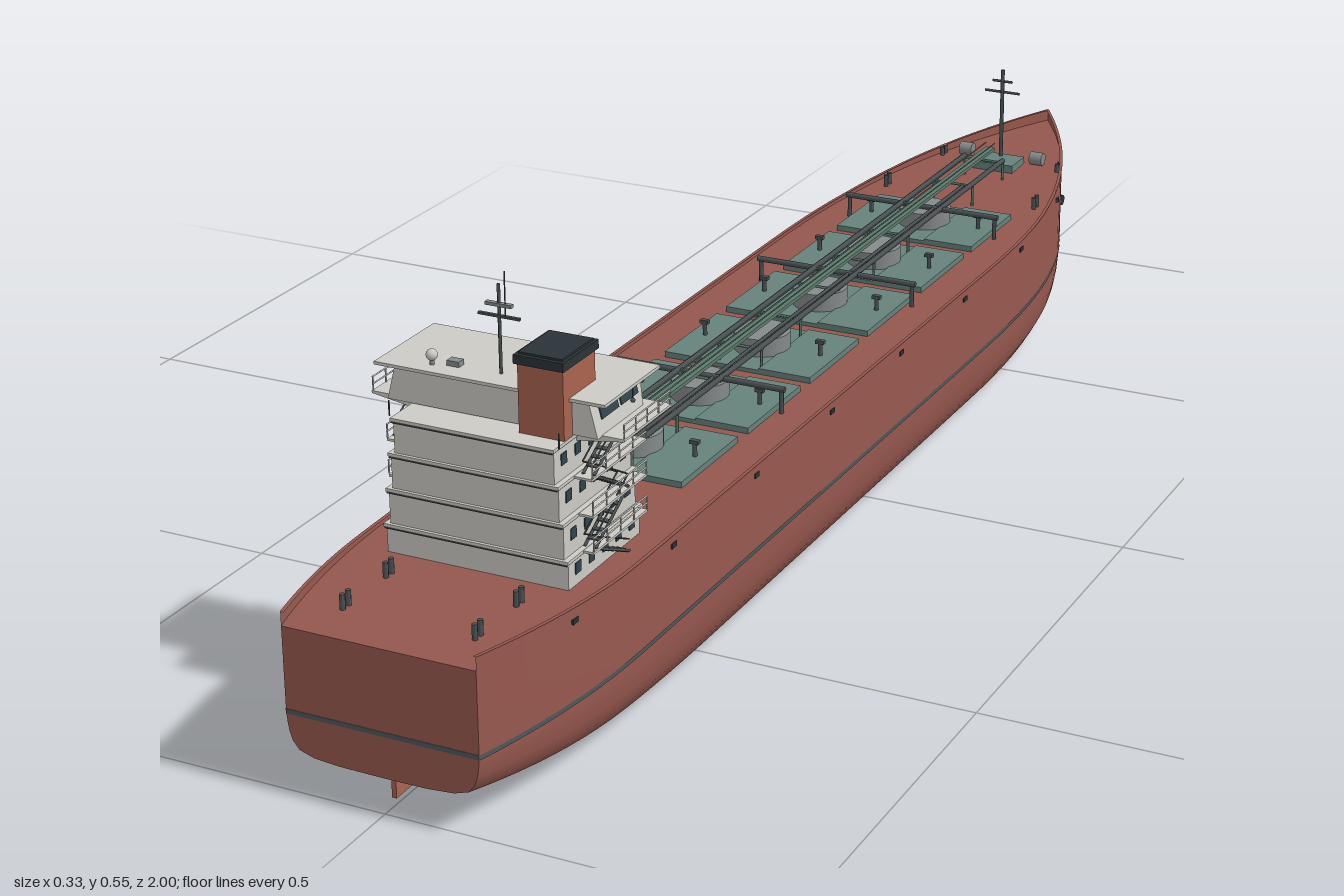
import * as THREE from 'three';

const mat = (color, side = THREE.FrontSide) => new THREE.MeshStandardMaterial({ color, side });
const M = {
  hull: mat(0x98594f, THREE.DoubleSide), deck: mat(0x94574d, THREE.DoubleSide),
  stripe: mat(0x50585c, THREE.DoubleSide), white: mat(0xcccbc4), hatch: mat(0x66827b),
  green: mat(0x5c7a6c), grey: mat(0x858a8a), steel: mat(0x4a5254), dark: mat(0x2a3338),
  funnel: mat(0xa8644e), glass: mat(0x30454c),
};

const add = (parent, name, geo, m, x = 0, y = 0, z = 0) => {
  const mesh = new THREE.Mesh(geo, m);
  mesh.name = name;
  mesh.position.set(x, y, z);
  parent.add(mesh);
  return mesh;
};
const box = (p, name, m, w, h, d, x, y, z) => add(p, name, new THREE.BoxGeometry(w, h, d), m, x, y, z);
const cyl = (p, name, m, r, h, x, y, z, n = 16) => add(p, name, new THREE.CylinderGeometry(r, r, h, n), m, x, y, z);
const rod = (p, name, m, a, b, r = 0.002) => {
  const A = new THREE.Vector3(...a), d = new THREE.Vector3(...b).sub(A);
  const mesh = add(p, name, new THREE.CylinderGeometry(r, r, d.length(), 6), m);
  mesh.position.copy(A).addScaledVector(d, 0.5);
  mesh.quaternion.setFromUnitVectors(new THREE.Vector3(0, 1, 0), d.normalize());
  return mesh;
};
const group = (p, name) => {
  const g = new THREE.Group();
  g.name = name;
  p.add(g);
  return g;
};

// Hull lines: bow at -z, stern at +z
const clamp = (t) => Math.min(1, Math.max(0, t));
const beam = (z) => 0.165 * (1 - clamp((-z - 0.3) / 0.7) ** 2.8) - 0.041 * clamp((z - 0.7) / 0.3) ** 2;
const keel = (z) => 0.032 * clamp((-z - 0.35) / 0.65) ** 2 + 0.045 * clamp((z - 0.5) / 0.5) ** 2;
const rail = (z) => 0.213 + 0.026 * clamp((-z - 0.55) / 0.45) ** 1.5 + 0.009 * clamp((z - 0.75) / 0.25);
const deckY = (z) => 0.205 + 0.016 * clamp((-z - 0.55) / 0.45) ** 1.5;
const stem = (z, y) => z + 0.016 * clamp((-z - 0.85) / 0.15) * clamp((0.11 - y) / 0.07);
const BILGE = [[1, 0.1], [0.99, 0.075], [0.975, 0.055], [0.945, 0.035], [0.88, 0.017], [0.73, 0.006], [0.45, 0.001]];
const STATIONS = Array.from({ length: 65 }, (_, i) => -Math.cos((i / 64) * Math.PI));

// Skin through a loop of cross-sections with equal point counts
const loft = (rows) => {
  const n = rows[0].length, index = [];
  for (let i = 0; i < rows.length - 1; i++)
    for (let j = 0; j < n - 1; j++) {
      const a = i * n + j, b = a + n;
      index.push(a, b, a + 1, b, b + 1, a + 1);
    }
  const g = new THREE.BufferGeometry();
  g.setAttribute('position', new THREE.Float32BufferAttribute(rows.flat(2), 3));
  g.setIndex(index);
  g.computeVertexNormals();
  return g;
};
const section = (z, top) => {
  const w = beam(z), k = keel(z);
  const half = [[w, top], [w, 0.16], ...BILGE.map(([f, y]) => [w * f, k + y * (1 - k / 0.1)])];
  return [...half, [0, k], ...half.map(([x, y]) => [-x, y]).reverse()];
};

function buildHull(root) {
  const hull = group(root, 'hull');
  add(hull, 'hullShell', loft(STATIONS.map((z) => section(z, rail(z)).map(([x, y]) => [x, y, stem(z, y)]))), M.hull);
  add(hull, 'mainDeck', loft(STATIONS.map((z) => [[-beam(z), deckY(z), z], [beam(z), deckY(z), z]])), M.deck);
  const transom = new THREE.Shape(section(1, 0.205).map(([x, y]) => new THREE.Vector2(x, y)));
  add(hull, 'transom', new THREE.ShapeGeometry(transom), M.hull, 0, 0, 1);
  for (const s of [-1, 1]) {
    const line = (y0, y1, o0, o1) => loft(STATIONS.map((z) => [
      [s * Math.max(0, beam(z) + o0), y0(z), z - 0.0005], [s * Math.max(0, beam(z) + o1), y1(z), z - 0.0005]]));
    add(hull, 'waterline', line(() => 0.097, () => 0.103, 0.0008, 0.0008), M.stripe);
    add(hull, 'bulwarkCap', line(rail, rail, -0.004, 0.001), M.deck);
    // Fairleads along the side
    for (let z = -0.7; z < 0.95; z += 0.22) box(hull, 'fairlead', M.dark, 0.003, 0.006, 0.012, s * beam(z), 0.2, z);
    cyl(hull, 'hawsePipe', M.dark, 0.008, 0.006, s * beam(-0.8), 0.165, -0.8).rotation.z = Math.PI / 2;
  }
  box(hull, 'sternWaterline', M.stripe, 0.248, 0.006, 0.002, 0, 0.1, 1 - 0.0005);
  add(hull, 'bulbousBow', new THREE.SphereGeometry(1, 24, 16), M.hull, 0, 0.042, -0.955).scale.set(0.022, 0.016, 0.038);
  box(hull, 'rudder', M.funnel, 0.006, 0.04, 0.04, 0, 0.03, 0.96);
}

function buildCargoDeck(root) {
  const cargo = group(root, 'cargoDeck');
  for (let i = 0; i < 6; i++) {
    const z = -0.502 + i * 0.182;
    for (const s of [-1, 1]) {
      box(cargo, 'hatchCover', M.hatch, 0.074, 0.009, 0.153, s * 0.069, 0.2085, z);
      rod(cargo, 'hatchVent', M.steel, [s * 0.085, 0.21, z], [s * 0.085, 0.232, z], 0.003);
      box(cargo, 'ventHead', M.steel, 0.012, 0.005, 0.007, s * 0.085, 0.232, z);
    }
    box(cargo, 'centreCover', M.hatch, 0.064, 0.006, 0.153, 0, 0.2075, z);
    cyl(cargo, 'tankDome', M.grey, 0.038, 0.03, 0, 0.22, z, 24);
  }
  // Raised catwalk with its trestles
  box(cargo, 'catwalk', M.green, 0.014, 0.005, 1.23, 0, 0.247, -0.14);
  for (const s of [-1, 1]) {
    rod(cargo, 'catwalkRail', M.green, [s * 0.007, 0.256, -0.755], [s * 0.007, 0.256, 0.475], 0.001);
    rod(cargo, 'cargoPipe', M.steel, [s * 0.031, 0.24, -0.73], [s * 0.031, 0.24, 0.47], 0.004);
    rod(cargo, 'smallPipe', M.steel, [s * 0.019, 0.238, -0.6], [s * 0.019, 0.238, 0.46], 0.0025);
  }
  for (let z = -0.73; z < 0.48; z += 0.12) {
    for (const s of [-1, 1]) rod(cargo, 'trestleLeg', M.green, [s * 0.031, 0.205, z], [s * 0.031, 0.24, z]);
    rod(cargo, 'trestleBeam', M.green, [-0.033, 0.236, z], [0.033, 0.236, z]);
  }
  for (const z of [-0.49, -0.19, 0.225]) {
    rod(cargo, 'manifold', M.steel, [-0.12, 0.238, z], [0.12, 0.238, z], 0.004);
    for (const x of [-0.115, 0.115]) rod(cargo, 'manifoldLeg', M.steel, [x, 0.205, z], [x, 0.238, z], 0.003);
  }

  // Forecastle fittings
  const bow = group(root, 'forecastle');
  box(bow, 'mastPlatform', M.hatch, 0.07, 0.012, 0.05, 0, 0.216, -0.785);
  rod(bow, 'foremast', M.steel, [0, 0.21, -0.8], [0, 0.36, -0.8], 0.003);
  rod(bow, 'foremastYard', M.steel, [-0.028, 0.325, -0.8], [0.028, 0.325, -0.8]);
  rod(bow, 'foremastYard', M.steel, [-0.016, 0.342, -0.8], [0.016, 0.342, -0.8]);
  for (const s of [-1, 1]) {
    const w = cyl(bow, 'windlass', M.grey, 0.01, 0.02, s * 0.058, 0.224, -0.805);
    w.rotation.z = Math.PI / 2;
    for (const [x, z] of [[0.095, -0.8], [0.12, -0.64], [0.085, 0.84], [0.085, 0.93]])
      for (const d of [-0.006, 0.006]) cyl(bow, 'bollard', M.steel, 0.0035, 0.02, s * x, 0.214, z + d, 8);
  }
}

function buildHouse(root) {
  const house = group(root, 'deckhouse');
  const levels = [0.205, 0.242, 0.287, 0.332, 0.376];
  for (let i = 0; i < 4; i++) {
    const y0 = levels[i], h = levels[i + 1] - y0, y1 = y0 + h, w = 0.119 - i * 0.005, yw = y0 + h * 0.55;
    box(house, 'tier', M.white, w * 2, h, 0.17, 0, y0 + h / 2, 0.702);
    box(house, 'tierSlab', M.white, w * 2 + 0.004, 0.004, 0.178, 0, y1 - 0.002, 0.702);
    box(house, 'tierSeam', M.steel, w * 2 + 0.001, 0.0015, 0.179, 0, y1 - 0.005, 0.702);
    for (let k = 0; k < 7; k++) box(house, 'frontWindow', M.glass, 0.014, 0.014, 0.002, (k - 3) * 0.03, yw, 0.617);
    for (const s of [-1, 1]) {
      for (let k = 0; k < 5; k++) box(house, 'sideWindow', M.glass, 0.002, 0.014, 0.013, s * w, yw, 0.637 + k * 0.032);
      // Side walkway and its railing
      const out = 0.134;
      if (i < 3) {
        box(house, 'walkway', M.white, out - w + 0.01, 0.003, 0.13, s * (out + w - 0.01) / 2, y1 - 0.002, 0.69);
        for (const r of [0.008, 0.017]) rod(house, 'walkwayRail', M.white, [s * out, y1 + r, 0.625], [s * out, y1 + r, 0.755], 0.001);
        for (let k = 0; k < 5; k++)
          rod(house, 'railPost', M.white, [s * out, y1, 0.626 + k * 0.032], [s * out, y1 + 0.017, 0.626 + k * 0.032], 0.001);
      }
      // Zigzag outside stairs
      const dir = i % 2 ? -1 : 1, z0 = 0.705 - dir * 0.04, z1 = 0.705 + dir * 0.04;
      for (const x of [0.117, 0.131]) {
        rod(house, 'stairStringer', M.steel, [s * x, y0, z0], [s * x, y1, z1], 0.0018);
        rod(house, 'stairRail', M.steel, [s * x, y0 + 0.015, z0], [s * x, y1 + 0.015, z1], 0.001);
      }
      for (let k = 1; k < 7; k++)
        box(house, 'stairTread', M.steel, 0.014, 0.0015, 0.008, s * 0.124, y0 + (h * k) / 7, z0 + ((z1 - z0) * k) / 7);
    }
  }

  // Extrudes an outline drawn in x, y along z
  const slab = (name, pts, z0, z1, m = M.white) => add(house, name, new THREE.ExtrudeGeometry(
    new THREE.Shape(pts.map((p) => new THREE.Vector2(...p))), { depth: z1 - z0, bevelEnabled: false }), m, 0, 0, z0);
  slab('bridgeWings', [[-0.105, 0.366], [0.105, 0.366], [0.165, 0.375], [0.165, 0.378], [-0.165, 0.378], [-0.165, 0.375]], 0.62, 0.735);
  const bridge = slab('bridge', [[-0.137, 0.377], [0.137, 0.377], [0.126, 0.42], [-0.126, 0.42]], 0.637, 0.745);
  // Lean the bridge front forward
  const p = bridge.geometry.attributes.position;
  for (let i = 0; i < p.count; i++) if (p.getZ(i) < 0.01 && p.getY(i) > 0.4) p.setZ(i, -0.012);
  bridge.geometry.computeVertexNormals();
  box(house, 'bridgeRoof', M.white, 0.3, 0.004, 0.132, 0, 0.421, 0.685);
  for (let k = 0; k < 5; k++) {
    const pane = box(house, 'bridgeWindow', M.glass, 0.042, 0.02, 0.002, (k - 2) * 0.047, 0.404, 0.6292);
    pane.rotation.x = -0.273;
  }
  for (const s of [-1, 1]) {
    for (const z of [0.662, 0.708]) box(house, 'bridgeSideWindow', M.glass, 0.002, 0.02, 0.04, s * 0.1306, 0.404, z).rotation.z = s * 0.25;
    // Wing-end railing
    for (const y of [0.386, 0.395]) rod(house, 'wingRail', M.white, [s * 0.164, y, 0.622], [s * 0.164, y, 0.734], 0.001);
    for (let k = 0; k < 5; k++) rod(house, 'wingPost', M.white, [s * 0.164, 0.377, 0.623 + k * 0.0275], [s * 0.164, 0.395, 0.623 + k * 0.0275], 0.001);
    add(house, 'navigationLamp', new THREE.SphereGeometry(0.003, 10, 8), M.steel, s * 0.147, 0.402, 0.68);
    rod(house, 'lampPost', M.steel, [s * 0.147, 0.402, 0.68], [s * 0.147, 0.42, 0.68], 0.0008);
    rod(house, 'ensignPost', M.steel, [s * 0.11, 0.376, 0.785], [s * 0.11, 0.395, 0.785], 0.001);
  }

  // Funnel
  box(house, 'funnel', M.funnel, 0.058, 0.086, 0.074, 0.076, 0.418, 0.727);
  box(house, 'funnelCap', M.dark, 0.064, 0.011, 0.082, 0.076, 0.466, 0.727);
  box(house, 'funnelTop', M.dark, 0.056, 0.004, 0.072, 0.076, 0.472, 0.727);

  // Radar mast and roof fittings
  rod(house, 'mast', M.steel, [0, 0.42, 0.72], [0, 0.532, 0.72], 0.002);
  box(house, 'mastYard', M.steel, 0.054, 0.003, 0.004, 0, 0.493, 0.72);
  box(house, 'radarBar', M.grey, 0.034, 0.004, 0.006, 0, 0.507, 0.72);
  rod(house, 'whipAntenna', M.steel, [0.008, 0.493, 0.72], [0.008, 0.548, 0.72], 0.0008);
  cyl(house, 'domeStand', M.grey, 0.003, 0.01, -0.085, 0.426, 0.73, 8);
  add(house, 'satelliteDome', new THREE.SphereGeometry(0.007, 16, 12), M.white, -0.085, 0.435, 0.73);
  box(house, 'roofLocker', M.grey, 0.016, 0.007, 0.012, -0.06, 0.426, 0.72);
}

export function createModel() {
  const ship = new THREE.Group();
  ship.name = 'tankerShip';
  buildHull(ship);
  buildCargoDeck(ship);
  buildHouse(ship);
  return ship;
}
